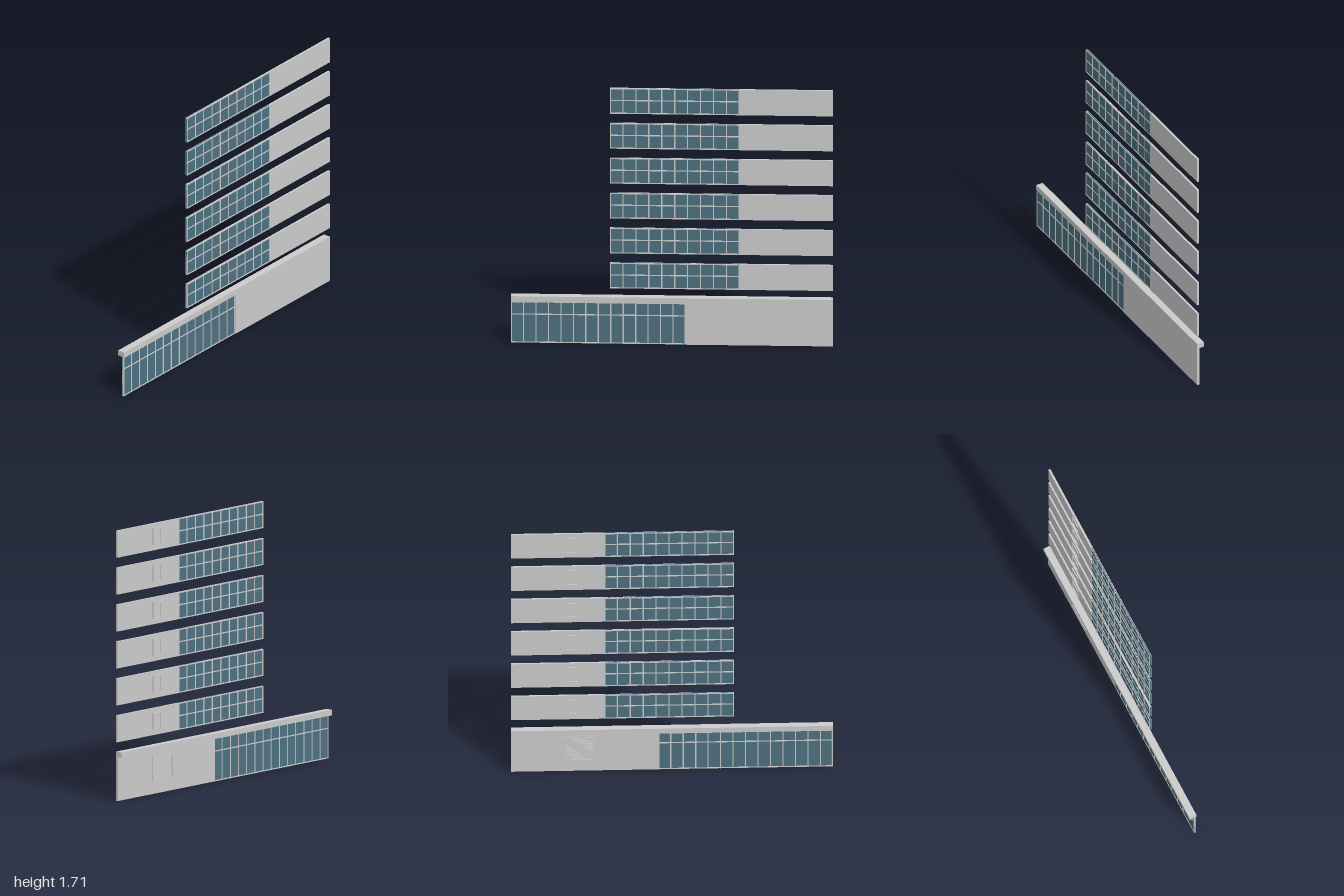
import * as THREE from 'three';

const grey = new THREE.MeshStandardMaterial({ color: 0xcccccc });
const glassBlue = new THREE.MeshStandardMaterial({ color: 0x4d7080 });

// Box given by its limits on each axis
function box(parent, name, [x0, x1], [y0, y1], [z0, z1], material = grey) {
  const mesh = new THREE.Mesh(new THREE.BoxGeometry(x1 - x0, y1 - y0, z1 - z0), material);
  mesh.position.set((x0 + x1) / 2, (y0 + y1) / 2, (z0 + z1) / 2);
  mesh.name = name;
  parent.add(mesh);
}

// Glazing with evenly spaced mullions, one transom and an outer frame
function curtainWall(parent, [y0, y1], [z0, z1], bays, transomY, [x0, x1]) {
  const group = new THREE.Group();
  group.name = 'curtainWall';
  const w = 0.007;
  box(group, 'glass', [x0 + 0.003, x1 - 0.003], [y0, y1], [z0, z1], glassBlue);
  for (let i = 0; i <= bays; i++) {
    const z = THREE.MathUtils.clamp(z0 + (z1 - z0) * i / bays, z0 + w / 2, z1 - w / 2);
    box(group, 'mullion', [x0, x1], [y0, y1], [z - w / 2, z + w / 2]);
  }
  for (const y of [y0 + w / 2, transomY, y1 - w / 2]) {
    box(group, 'transom', [x0 + 0.0005, x1 - 0.0005], [y - w / 2, y + w / 2], [z0, z1]);
  }
  parent.add(group);
}

// Raised rectangular frame on the -x face of a wall
function openingFrame(parent, x, [y0, y1], [z0, z1], w) {
  box(parent, 'frameJamb', x, [y0, y1], [z0, z0 + w]);
  box(parent, 'frameJamb', x, [y0, y1], [z1 - w, z1]);
  box(parent, 'frameHead', x, [y1 - w, y1], [z0 + w, z1 - w]);
  box(parent, 'frameSill', x, [y0, y0 + w], [z0 + w, z1 - w]);
}

export function createModel() {
  const model = new THREE.Group();
  model.name = 'facade';
  const out = 0.0235;

  // Ground floor with canopy slab
  const base = new THREE.Group();
  base.name = 'groundFloor';
  model.add(base);
  box(base, 'canopy', [-out, out], [0.275, 0.31], [-1, 1]);
  box(base, 'solidWall', [0.007, out], [0, 0.275], [-1, -0.085]);
  curtainWall(base, [0, 0.275], [-0.085, 1], 14, 0.19, [0.007, 0.02]);

  // Louvred vent on the inner face
  openingFrame(base, [0.002, 0.008], [0.075, 0.24], [-0.67, -0.48], 0.008);
  for (let i = 0; i < 10; i++) {
    const y = 0.088 + i * 0.0148;
    box(base, 'louvreSlat', [0.004, 0.008], [y, y + 0.006], [-0.662, -0.488]);
  }

  // Six identical upper floor bands
  for (let i = 0; i < 6; i++) {
    const floor = new THREE.Group();
    floor.name = 'upperFloor';
    floor.position.y = 0.37 + i * 0.233;
    model.add(floor);
    box(floor, 'solidWall', [0.01, out], [0, 0.17], [-1, -0.42]);
    curtainWall(floor, [0, 0.17], [-0.42, 0.385], 10, 0.089, [0.01, out]);
    openingFrame(floor, [0.004, 0.011], [0.035, 0.14], [-0.665, -0.585], 0.006);
  }
  return model;
}
